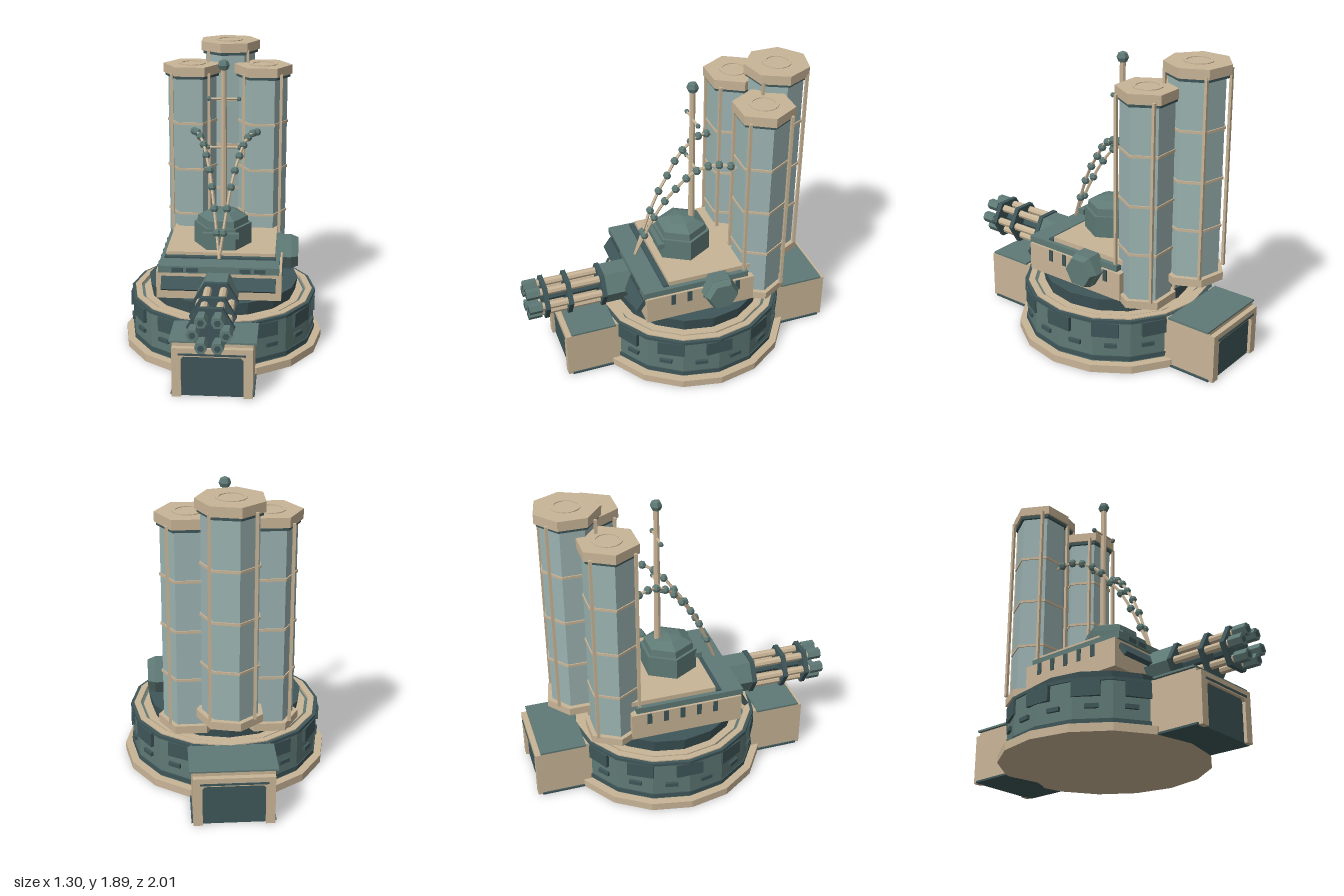
import * as THREE from 'three';

const mat = (name, color) => new THREE.MeshStandardMaterial({ name, color, flatShading: true });

export function createModel() {
  const cream = mat('cream', 0xc9b597), green = mat('green', 0x5f7a76);
  const dark = mat('dark teal', 0x3f5659), glass = mat('pale glass', 0x9bb3b1);
  const root = new THREE.Group();
  root.name = 'gunTower';

  const add = (parent, name, geo, m, x = 0, y = 0, z = 0) => {
    const mesh = new THREE.Mesh(geo, m);
    mesh.name = name;
    mesh.position.set(x, y, z);
    parent.add(mesh);
    return mesh;
  };
  const group = (name, x = 0, y = 0, z = 0, parent = root) => {
    const g = new THREE.Group();
    g.name = name;
    g.position.set(x, y, z);
    parent.add(g);
    return g;
  };
  const box = (w, h, d) => new THREE.BoxGeometry(w, h, d);
  // prism standing between two heights, with a corner on the x axis
  const prism = (p, name, r0, r1, y0, y1, sides, m, x = 0, z = 0) =>
    add(p, name, new THREE.CylinderGeometry(r1, r0, y1 - y0, sides, 1, false, Math.PI / 2), m, x, (y0 + y1) / 2, z);
  // prism lying along z
  const zPrism = (p, name, r, z0, z1, sides, m, x = 0, y = 0) =>
    add(p, name, new THREE.CylinderGeometry(r, r, z1 - z0, sides, 1, false, Math.PI / 2).rotateX(Math.PI / 2), m, x, y, (z0 + z1) / 2);
  // flat ring with square section
  const ring = (p, name, rIn, rOut, y0, y1, sides, m) => {
    const pts = [[rIn, y0], [rOut, y0], [rOut, y1], [rIn, y1], [rIn, y0]].map(a => new THREE.Vector2(...a));
    return add(p, name, new THREE.LatheGeometry(pts, sides, Math.PI / 2), m);
  };

  // round base
  const base = group('base', 0, 0, -0.1);
  prism(base, 'foundation', 0.65, 0.65, 0, 0.05, 16, cream);
  prism(base, 'drumFoot', 0.605, 0.605, 0.06, 0.09, 16, dark);
  prism(base, 'drum', 0.598, 0.598, 0.05, 0.318, 16, green);
  ring(base, 'drumEdge', 0.585, 0.607, 0.318, 0.338, 16, dark);
  ring(base, 'deckRim', 0.545, 0.585, 0.3, 0.345, 16, cream);
  ring(base, 'deckGroove', 0.525, 0.545, 0.3, 0.325, 16, green);
  ring(base, 'deckInnerRing', 0.47, 0.525, 0.3, 0.335, 16, cream);
  prism(base, 'turntable', 0.47, 0.49, 0.31, 0.42, 16, dark);

  // drum windows and vents, set around the wall
  const around = (name, deg, w, h, y, m, out) => {
    const a = THREE.MathUtils.degToRad(deg);
    const plate = add(base, name, box(w, h, 0.04), m, Math.sin(a) * out, y, Math.cos(a) * out);
    plate.rotation.y = a;
  };
  for (const side of [1, -1]) {
    for (const deg of [30, 60, 90, 120, 150]) around('drumWindow', side * deg, 0.17, 0.095, 0.272, dark, 0.584);
    for (let i = 0; i < 6; i++) around('drumVent', side * (34.5 + i * 22.2), 0.08, 0.026, 0.165, dark, 0.584);
  }

  // gatehouses at front and back
  for (const turn of [0, Math.PI]) {
    const gate = group('gatehouse', 0, 0, 0, base);
    gate.rotation.y = turn;
    add(gate, 'gateBody', box(0.48, 0.325, 0.37), cream, 0, 0.1725, 0.685);
    add(gate, 'gateFloor', box(0.5, 0.012, 0.37), dark, 0, 0.006, 0.69);
    add(gate, 'gateRoof', box(0.52, 0.012, 0.29), green, 0, 0.339, 0.725);
    const s = new THREE.Shape();
    s.moveTo(-0.24, 0).lineTo(-0.185, 0).lineTo(-0.185, 0.245).lineTo(-0.17, 0.262)
      .lineTo(0.17, 0.262).lineTo(0.185, 0.245).lineTo(0.185, 0).lineTo(0.24, 0)
      .lineTo(0.24, 0.315).lineTo(-0.24, 0.315).closePath();
    add(gate, 'gateFrame', new THREE.ExtrudeGeometry(s, { depth: 0.035, bevelEnabled: false }), cream, 0, 0, 0.868);
    add(gate, 'gateDoor', box(0.38, 0.262, 0.008), dark, 0, 0.131, 0.878);
    add(gate, 'gateLintel', box(0.4, 0.012, 0.01), dark, 0, 0.277, 0.903);
  }

  // turret body
  const turret = group('turret');
  add(turret, 'lowerHull', box(0.78, 0.18, 0.72), cream, 0, 0.51, -0.05);
  add(turret, 'upperHull', box(0.75, 0.045, 0.7), green, 0, 0.6175, -0.025);
  add(turret, 'roofPlate', box(0.69, 0.03, 0.65), cream, 0, 0.655, -0.175);
  add(turret, 'roofStep', box(0.7, 0.012, 0.035), dark, 0, 0.645, 0.17);
  const visor = add(turret, 'visor', box(0.71, 0.085, 0.03), dark, 0, 0.53, 0.335);
  visor.rotation.x = -0.6;
  for (const x of [-0.255, -0.165, 0.165, 0.255])
    add(turret, 'frontSlot', box(0.07, 0.026, 0.008), dark, x, 0.617, 0.327);
  for (const side of [1, -1])
    for (let i = 0; i < 5; i++)
      add(turret, 'sideSlot', box(0.008, 0.075, 0.03), dark, side * 0.391, 0.56, 0.135 - i * 0.108);

  // hexagonal pod on the left flank
  const pod = group('sidePod', 0.43, 0.575, -0.165, turret);
  add(pod, 'podShell', new THREE.CylinderGeometry(0.095, 0.115, 0.05, 6).rotateZ(-Math.PI / 2), green, 0.035);
  add(pod, 'podRoot', new THREE.CylinderGeometry(0.115, 0.115, 0.09, 6).rotateZ(-Math.PI / 2), green, -0.03);

  // cupola
  const cupola = group('cupola', 0, 0, -0.055, turret);
  prism(cupola, 'cupolaWall', 0.185, 0.185, 0.66, 0.81, 6, green);
  const dome = [[0.165, 0.81], [0.16, 0.855], [0.09, 0.888], [0, 0.902]].map(a => new THREE.Vector2(...a));
  add(cupola, 'cupolaDome', new THREE.LatheGeometry(dome, 6, Math.PI / 2), green);
  add(cupola, 'cupolaSight', box(0.23, 0.035, 0.04), green, 0, 0.773, 0.172);

  // tall tanks
  const tank = (x, z, y0, y1, r, sides, bands) => {
    const t = group('tank', x, 0, z);
    prism(t, 'tankFoot', r, r, y0, y0 + 0.05, sides, cream);
    prism(t, 'tankGlass', r * 0.84, r * 0.84, y0 + 0.05, y1 - 0.07, sides, glass);
    prism(t, 'tankCollar', r * 0.93, r * 0.93, y1 - 0.085, y1 - 0.06, sides, dark);
    prism(t, 'tankCap', r, r, y1 - 0.065, y1 - 0.005, sides, cream);
    ring(t, 'tankHatch', 0.07, 0.09, y1 - 0.01, y1, 16, cream);
    for (const y of bands) ring(t, 'tankBand', r * 0.8, r * 0.88, y - 0.008, y + 0.008, sides, cream);
    for (const sx of [1, -1]) for (const sz of [1, -1])
      add(t, 'tankRail', box(0.018, y1 - y0 - 0.1, 0.018), cream, sx * r * 0.64, (y0 + y1) / 2, sz * r * 0.7);
  };
  for (const side of [1, -1]) tank(side * 0.235, -0.485, 0.415, 1.762, 0.19, 6, [0.76, 1.07, 1.38]);
  tank(0, -0.667, 0.54, 1.892, 0.203, 7, [0.895, 1.2, 1.51]);

  // mast with crossbars
  const mast = group('mast', 0, 0, -0.125);
  prism(mast, 'mastPole', 0.022, 0.018, 0.85, 1.8, 8, cream);
  add(mast, 'mastBall', new THREE.SphereGeometry(0.038, 6, 4), green, 0, 1.813, 0);
  for (const [y, w] of [[1.6, 0.095], [1.285, 0.1]]) {
    add(mast, 'crossbar', new THREE.CylinderGeometry(0.008, 0.008, w * 2, 6).rotateZ(Math.PI / 2), cream, 0, y, 0);
    for (const side of [1, -1]) add(mast, 'crossbarTip', new THREE.SphereGeometry(0.016, 6, 4), green, side * w, y, 0);
  }

  // beaded cables arching from the hull to the tanks
  const cable = [[0, 0.67, 0.26], [0.02, 0.82, 0.2], [0.04, 0.96, 0.14], [0.06, 1.08, 0.075], [0.08, 1.17, 0.01],
    [0.105, 1.25, -0.05], [0.127, 1.305, -0.11], [0.153, 1.34, -0.175], [0.18, 1.353, -0.235], [0.205, 1.345, -0.3],
    [0.215, 1.33, -0.335]];
  for (const side of [1, -1]) {
    const g = group('beadedCable');
    const pts = cable.map(([x, y, z]) => new THREE.Vector3(side * x, y, z));
    add(g, 'cable', new THREE.TubeGeometry(new THREE.CatmullRomCurve3(pts), 30, 0.01, 5), cream);
    for (const p of pts.slice(1, -1)) add(g, 'bead', new THREE.SphereGeometry(0.027, 6, 4), green, p.x, p.y, p.z);
  }

  // rotary gun
  const gun = group('rotaryGun', 0, 0.49, 0);
  zPrism(gun, 'gunHousing', 0.13, 0.3, 0.5, 6, green);
  zPrism(gun, 'gunAxle', 0.03, 0.5, 0.9, 8, dark);
  for (const z of [0.505, 0.727, 0.878]) zPrism(gun, 'barrelClamp', 0.14, z - 0.015, z + 0.015, 6, dark);
  for (let i = 0; i < 6; i++) {
    const a = i * Math.PI / 3, x = Math.cos(a) * 0.095, y = Math.sin(a) * 0.09;
    zPrism(gun, 'barrel', 0.025, 0.5, 0.92, 8, cream, x, y);
    zPrism(gun, 'muzzle', 0.037, 0.91, 0.997, 6, green, x, y);
    zPrism(gun, 'bore', 0.02, 0.993, 1.0, 6, dark, x, y);
  }
  return root;
}
